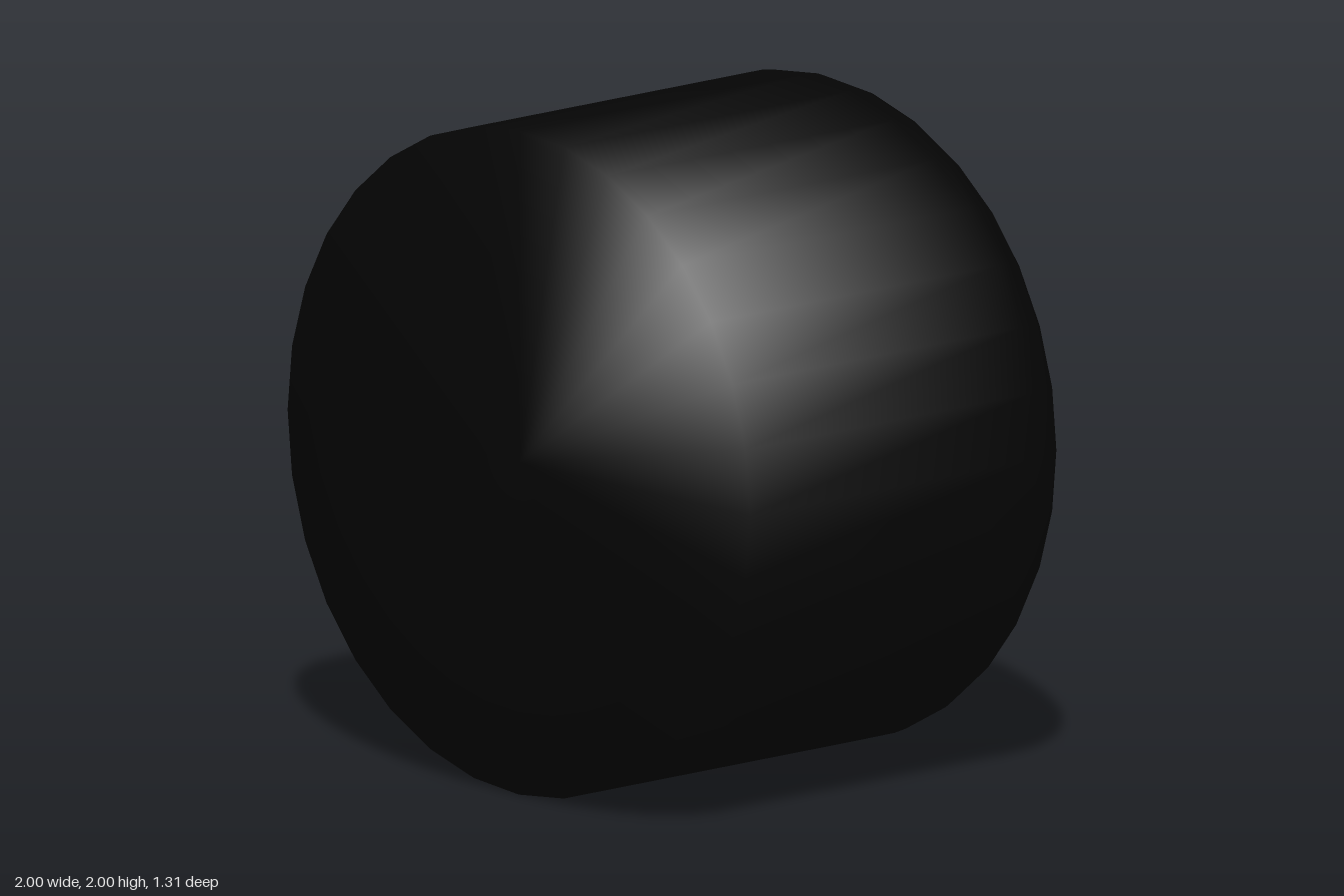
import * as THREE from 'three';

const black = new THREE.MeshStandardMaterial({ color: 0x040404, side: THREE.DoubleSide });
const grey = new THREE.MeshStandardMaterial({ color: 0xcccccc, side: THREE.DoubleSide });

const BLADES = 20, HUB_R = 0.19, DUCT_R = 0.86;

// Lathe turned so its axis runs along z; profile points are [radius, z]
function turned(name, profile, material, sides = 32) {
  const points = profile.map(([r, z]) => new THREE.Vector2(r, z));
  const geometry = new THREE.LatheGeometry(points, sides).rotateX(Math.PI / 2);
  const mesh = new THREE.Mesh(geometry, material);
  mesh.name = name;
  return mesh;
}

// Ring of pitched blades; pitch +1 or -1 sets the lean
function bladeRow(name, zNear, zFar, pitch) {
  const row = new THREE.Group();
  row.name = name;
  const geometry = new THREE.PlaneGeometry(1, 1, 4, 2);
  const p = geometry.attributes.position;
  for (let i = 0; i < p.count; i++) {
    const along = p.getX(i) + 0.5, across = p.getY(i) + 0.5;
    const r = THREE.MathUtils.lerp(HUB_R, DUCT_R, along);
    const width = Math.min(0.135, r * 0.33);
    p.setXYZ(i, r, (across - 0.5) * width * pitch,
      THREE.MathUtils.lerp(zFar, zNear + 0.007 * along, across));
  }
  geometry.computeVertexNormals();
  for (let i = 0; i < BLADES; i++) {
    const blade = new THREE.Mesh(geometry, black);
    blade.name = name + 'Blade';
    blade.rotation.z = (i * 2 * Math.PI) / BLADES + 0.25;
    row.add(blade);
  }
  return row;
}

export function createModel() {
  const model = new THREE.Group();
  model.name = 'ductedFan';
  const body = new THREE.Group();
  body.name = 'fanUnit';
  body.position.y = 1;
  model.add(body);

  // Casing: duct floor, inner wall, rounded back rim, side and closed front
  const profile = [[0.73, -0.48], [0.84, -0.48], [0.86, -0.63], [0.87, -0.648]];
  for (let i = 0; i <= 5; i++) {
    const a = (i / 5) * Math.PI / 2;
    profile.push([0.88 + 0.12 * Math.sin(a), -0.5 - 0.15 * Math.cos(a)]);
  }
  profile.push([1, 0.655], [0, 0.655]);
  body.add(turned('casing', profile, black));

  // Backing plate behind the blades
  const plate = new THREE.Mesh(new THREE.CircleGeometry(0.74, 32).rotateY(Math.PI), grey);
  plate.name = 'backingPlate';
  plate.position.z = -0.48;
  body.add(plate);

  // Two rows leaning opposite ways
  body.add(bladeRow('rotor', -0.657, -0.57, 1));
  body.add(bladeRow('stator', -0.565, -0.485, -1));

  // Hub ring with a recess and a domed cap
  body.add(turned('hub', [
    [0, -0.6], [0.11, -0.61], [0.13, -0.64], [0.16, -0.658],
    [0.19, -0.65], [0.2, -0.62], [0.2, -0.48],
  ], black));
  const dome = [];
  for (let i = 0; i <= 6; i++) {
    const a = (i / 6) * Math.PI / 2;
    dome.push([0.09 * Math.sin(a), -0.605 - 0.05 * Math.cos(a)]);
  }
  body.add(turned('hubCap', dome, grey));

  return model;
}
